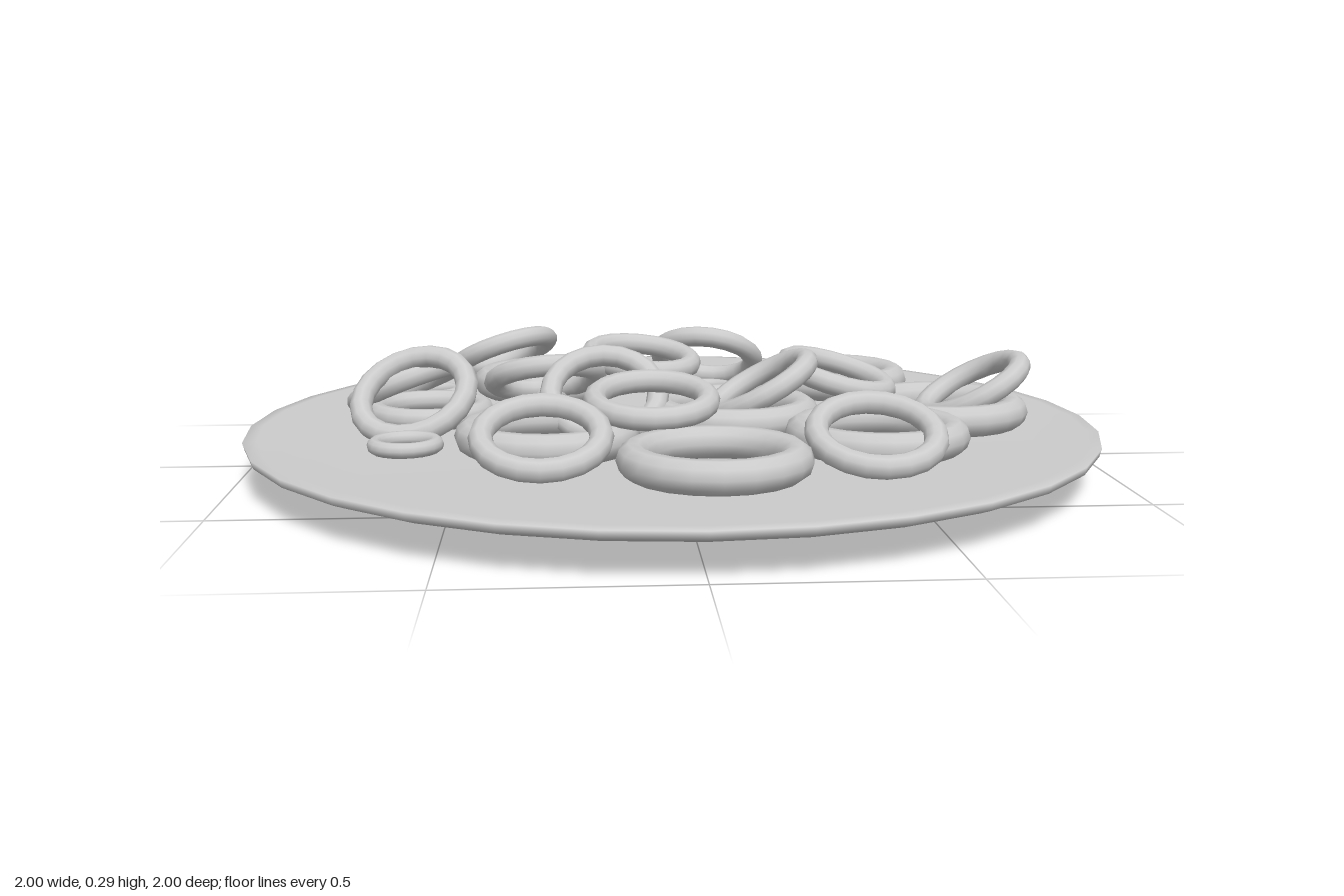
import * as THREE from 'three';

const material = new THREE.MeshStandardMaterial({ color: 0xcccccc });
const UP = new THREE.Vector3(0, 1, 0);

// Ring geometries lying flat, shared by all rings of one size
const ringShape = (radius, tube) => new THREE.TorusGeometry(radius, tube, 10, 20).rotateX(Math.PI / 2);
const SIZES = {
  largeRing: ringShape(0.168, 0.036),
  mediumRing: ringShape(0.126, 0.026),
  smallRing: ringShape(0.067, 0.017),
};

// Flat rings resting on the plate: [x, z]
const LARGE = [[-0.295, -0.405], [0.45, -0.405], [0.14, 0.06], [0.64, 0.06], [-0.295, 0.305], [0.43, 0.34], [0.05, 0.57]];
const SMALL = [[-0.605, -0.33], [-0.605, 0.305], [0.42, -0.38], [0.11, -0.335], [-0.065, -0.52], [0.275, -0.605]];

// Medium rings leaning on the others: [x, y, z, axis x, axis y, axis z]
const MEDIUM = [
  [-0.58, 0.125, -0.03, 0, 1, 0],
  [-0.645, 0.175, -0.115, -0.35, 0.9, -0.2],
  [-0.605, 0.185, 0.1, -0.2, 0.78, 0.55],
  [-0.425, 0.19, -0.5, -0.3, 0.88, -0.31],
  [-0.305, 0.185, -0.12, -0.08, 0.9, -0.38],
  [-0.065, 0.22, -0.21, 0.1, 0.97, 0.12],
  [0.12, 0.185, -0.435, 0.14, 0.83, -0.52],
  [0.41, 0.195, -0.075, 0.25, 0.95, 0.1],
  [0.205, 0.19, 0.055, -0.48, 0.87, 0],
  [0.715, 0.18, 0.05, -0.48, 0.87, 0],
  [-0.165, 0.18, 0.09, 0, 0.78, 0.6],
  [-0.065, 0.205, 0.295, 0, 0.98, 0.16],
  [-0.305, 0.165, 0.49, 0, 0.93, 0.36],
  [0.395, 0.165, 0.505, 0, 0.93, 0.36],
];

export function createModel() {
  const model = new THREE.Group();

  // Shallow round plate, pointed underneath
  const profile = [[0, 0], [0.3, 0.035], [0.7, 0.055], [0.97, 0.07], [0.995, 0.08], [1, 0.098], [0.97, 0.1], [0.85, 0.095], [0, 0.094]];
  const plate = new THREE.Mesh(
    new THREE.LatheGeometry(profile.map(([r, y]) => new THREE.Vector2(r, y)), 32),
    material,
  );
  plate.name = 'plate';
  model.add(plate);

  // Place a ring with its axis along the given direction
  const addRing = (name, x, y, z, axis = UP) => {
    const ring = new THREE.Mesh(SIZES[name], material);
    ring.name = name;
    ring.position.set(x, y, z);
    ring.quaternion.setFromUnitVectors(UP, axis);
    model.add(ring);
  };

  for (const [x, z] of LARGE) addRing('largeRing', x, 0.131, z);
  for (const [x, z] of SMALL) addRing('smallRing', x, 0.113, z);
  for (const [x, y, z, ax, ay, az] of MEDIUM) {
    addRing('mediumRing', x, y, z, new THREE.Vector3(ax, ay, az).normalize());
  }
  return model;
}
